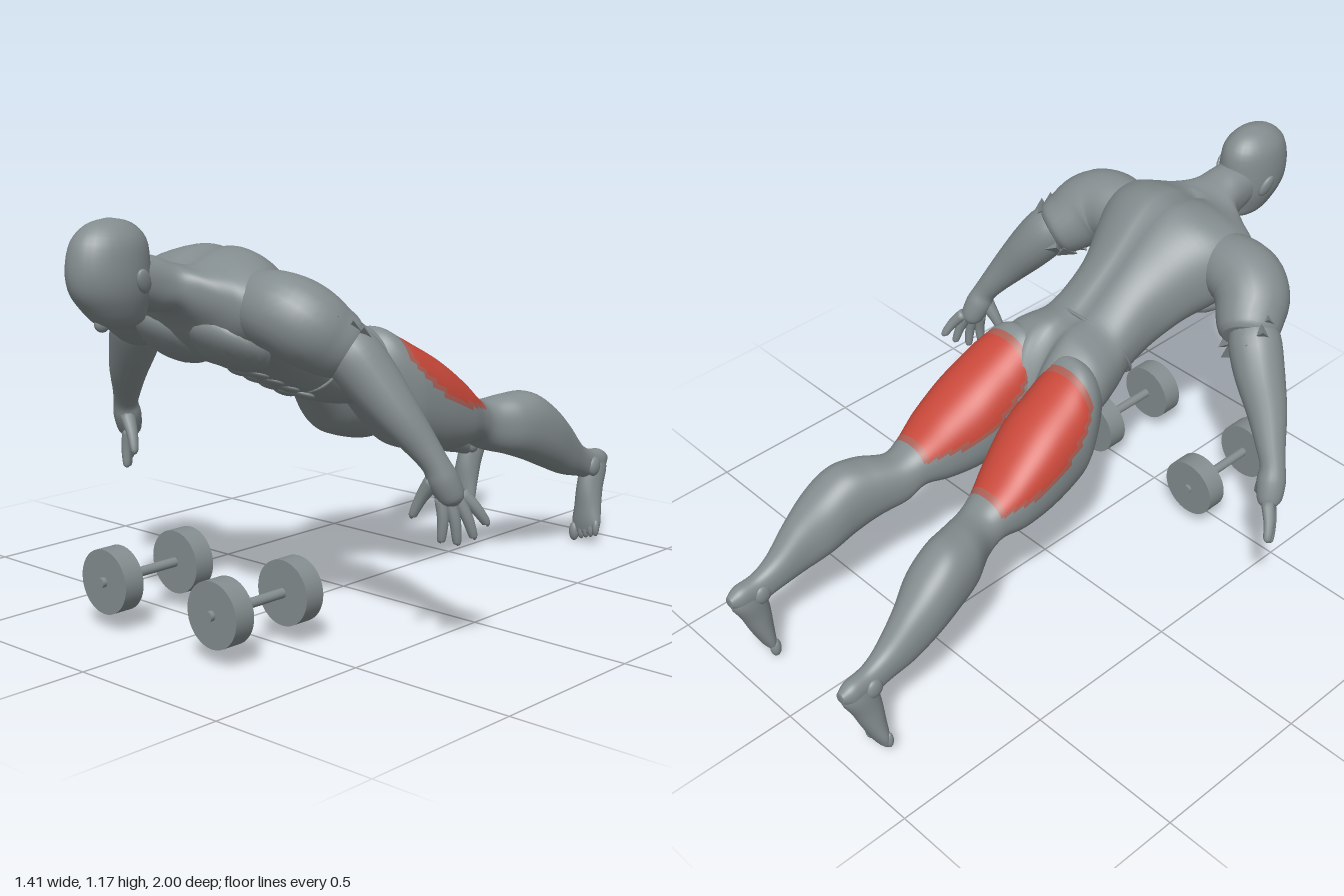
import * as THREE from 'three';

const skin = new THREE.MeshStandardMaterial({ color: 0x838c8e });
skin.name = 'grey body';
const red = new THREE.MeshStandardMaterial({ color: 0xc9483a });
red.name = 'red muscle';
const fade = new THREE.MeshStandardMaterial({ color: 0xab5f54 });
fade.name = 'muted red edge';
const mats = [skin, red, fade];

// Smooth interpolation of rows of numbers
function resample(rows, steps) {
  const out = [], n = rows.length;
  for (let i = 0; i < n - 1; i++) {
    const [a, b, c, d] = [rows[Math.max(i - 1, 0)], rows[i], rows[i + 1], rows[Math.min(i + 2, n - 1)]];
    for (let k = 0; k < steps; k++) {
      const t = k / steps;
      out.push(b.map((_, q) => b[q] + 0.5 * t * (c[q] - a[q] + t * (2 * a[q] - 5 * b[q] + 4 * c[q] - d[q]
        + t * (3 * (b[q] - c[q]) + d[q] - a[q])))));
    }
  }
  out.push(rows[n - 1]);
  return out;
}

// Closed skin over rings of points, with capped ends; pick(i, j) gives the material index
function loft(name, rings, pick = () => 0) {
  const m = rings[0].length, n = rings.length, pos = [], lists = [[], [], []];
  rings.forEach(r => r.forEach(p => pos.push(p.x, p.y, p.z)));
  for (const r of [rings[0], rings[n - 1]]) {
    const c = r.reduce((s, p) => s.add(p), new THREE.Vector3()).divideScalar(m);
    pos.push(c.x, c.y, c.z);
  }
  for (let j = 0; j < m; j++) {
    const k = (j + 1) % m;
    lists[0].push(n * m, k, j, n * m + 1, (n - 1) * m + j, (n - 1) * m + k);
    for (let i = 0; i < n - 1; i++) {
      const a = i * m + j, b = i * m + k;
      lists[pick(i, j)].push(a, b, a + m, b, b + m, a + m);
    }
  }
  // Turn the corners round when the volume comes out negative
  const v = q => new THREE.Vector3().fromArray(pos, q * 3);
  let vol = 0;
  for (const l of lists) for (let i = 0; i < l.length; i += 3) vol += v(l[i]).dot(v(l[i + 1]).cross(v(l[i + 2])));
  if (vol < 0) lists.forEach(l => l.reverse());
  const g = new THREE.BufferGeometry();
  g.setAttribute('position', new THREE.Float32BufferAttribute(pos, 3));
  g.setIndex(lists.flat());
  let start = 0;
  lists.forEach((l, q) => { if (l.length) g.addGroup(start, l.length, q); start += l.length; });
  g.computeVertexNormals();
  const mesh = new THREE.Mesh(g, mats);
  mesh.name = name;
  return mesh;
}

// Upright section at depth z from its x and y limits
const pw = v => Math.sign(v) * Math.abs(v) ** 0.88;
function section(z, x0, x1, top, bot, seg, s = 1) {
  return Array.from({ length: seg }, (_, j) => {
    const a = j / seg * Math.PI * 2;
    return new THREE.Vector3(s * ((x0 + x1) / 2 + (x1 - x0) / 2 * pw(Math.cos(a))),
      (top + bot) / 2 + (top - bot) / 2 * pw(Math.sin(a)), z);
  });
}

// Level rings through rows of [y, z, x, half width, half depth]
function stack(name, rows, s, seg) {
  return loft(name, resample(rows, 4).map(([y, z, x, rx, rz]) => Array.from({ length: seg }, (_, j) => {
    const a = j / seg * Math.PI * 2;
    return new THREE.Vector3(s * (x + rx * Math.cos(a)), y, z + rz * Math.sin(a));
  })));
}

// Tapered limb through rows of [x, y, z, radius]
function limb(name, rows, s, seg = 16, steps = 4) {
  const pts = resample(rows, steps);
  return loft(name, pts.map((p, i) => {
    const a = pts[Math.max(i - 1, 0)], b = pts[Math.min(i + 1, pts.length - 1)];
    const t = new THREE.Vector3(b[0] - a[0], b[1] - a[1], b[2] - a[2]).normalize();
    const u = new THREE.Vector3(0.3, 0.1, 1).cross(t).normalize(), w = t.clone().cross(u);
    return Array.from({ length: seg }, (_, j) => {
      const q = j / seg * Math.PI * 2;
      const v = new THREE.Vector3(p[0], p[1], p[2]).addScaledVector(u, p[3] * Math.cos(q)).addScaledVector(w, p[3] * Math.sin(q));
      v.x *= s;
      return v;
    });
  }));
}

function blob(name, x, y, z, rx, ry, rz, tilt = 0) {
  const mesh = new THREE.Mesh(new THREE.SphereGeometry(1, 20, 14), skin);
  mesh.name = name;
  mesh.position.set(x, y, z);
  mesh.scale.set(rx, ry, rz);
  mesh.rotation.x = tilt;
  return mesh;
}

function createTorso() {
  const torso = new THREE.Group();
  torso.name = 'torso';
  // z, half width, top, bottom
  const rows = resample([[-0.08, 0.1, 0.70, 0.60], [-0.04, 0.17, 0.765, 0.57], [0, 0.2, 0.805, 0.565],
    [0.04, 0.2, 0.828, 0.57], [0.08, 0.19, 0.834, 0.575], [0.14, 0.17, 0.84, 0.59], [0.2, 0.155, 0.88, 0.615],
    [0.3, 0.16, 0.955, 0.655], [0.4, 0.20, 1.035, 0.705], [0.48, 0.24, 1.07, 0.735], [0.56, 0.265, 1.06, 0.77],
    [0.62, 0.245, 1.035, 0.82], [0.66, 0.17, 1.03, 0.875], [0.70, 0.098, 1.045, 0.91], [0.75, 0.074, 1.065, 0.915],
    [0.82, 0.068, 1.07, 0.94]], 4);
  torso.add(loft('trunk', rows.map(([z, w, t, b]) => section(z, -w, w, t, b, 64).map(p => {
    // Spine groove, deepening into the cleft of the seat
    const deep = z < 0.08 ? 0.014 + 0.5 * (0.08 - z) : 0.014;
    if (p.y > (t + b) / 2 && z < 0.64) p.y -= deep * Math.exp(-((p.x / 0.024) ** 2));
    return p;
  }))));
  // Slanted waist seam
  const line = section(0, -0.161, 0.161, 0.833, 0.63, 32);
  line.forEach(p => { p.z = 0.13 + (0.833 - p.y) * 0.47; });
  const seam = new THREE.Mesh(new THREE.TubeGeometry(new THREE.CatmullRomCurve3(line, true), 64, 0.005, 6, true), skin);
  seam.name = 'waistSeam';
  torso.add(seam);
  // Chest and stomach muscles
  for (const s of [1, -1]) {
    torso.add(blob('chestMuscle', s * 0.105, 0.817, 0.562, 0.12, 0.055, 0.115, -0.64));
    for (let i = 0; i < 4; i++) torso.add(blob('stomachMuscle', s * 0.036, 0.705 - 0.0275 * i, 0.39 - 0.06 * i, 0.036, 0.012, 0.033, -0.42));
  }
  return torso;
}

function createHead() {
  const head = new THREE.Group();
  head.name = 'head';
  head.add(stack('skull', [[1.166, 0.875, 0, 0.008, 0.01], [1.152, 0.875, 0, 0.045, 0.065], [1.11, 0.877, 0, 0.077, 0.108],
    [1.04, 0.88, 0, 0.087, 0.121], [0.98, 0.873, 0, 0.083, 0.117], [0.93, 0.86, 0, 0.066, 0.092],
    [0.9, 0.848, 0, 0.048, 0.072], [0.883, 0.845, 0, 0.022, 0.04]], 1, 28));
  head.add(blob('nose', 0, 0.9, 0.905, 0.014, 0.022, 0.024, -0.5));
  for (const s of [1, -1]) {
    const ear = blob('ear', s * 0.09, 1.01, 0.84, 0.011, 0.036, 0.022, 0.5);
    ear.rotation.z = -s * 0.2;
    head.add(ear);
  }
  return head;
}

function createArm(s) {
  const arm = new THREE.Group();
  arm.name = s > 0 ? 'leftArm' : 'rightArm';
  arm.add(limb('upperArm', [[0.15, 0.935, 0.53, 0.08], [0.22, 0.925, 0.535, 0.1], [0.29, 0.912, 0.53, 0.108],
    [0.335, 0.885, 0.505, 0.109], [0.365, 0.85, 0.465, 0.1], [0.39, 0.825, 0.43, 0.088], [0.4, 0.815, 0.415, 0.07]], s, 24));
  arm.add(limb('forearm', [[0.375, 0.855, 0.46, 0.055], [0.415, 0.815, 0.43, 0.076], [0.465, 0.745, 0.40, 0.074],
    [0.53, 0.655, 0.368, 0.059], [0.58, 0.58, 0.335, 0.044], [0.61, 0.53, 0.315, 0.037], [0.622, 0.49, 0.3, 0.042],
    [0.636, 0.44, 0.28, 0.036], [0.642, 0.42, 0.275, 0.02]], s, 20));
  // Ragged folds at the end of the upper arm
  const u = new THREE.Vector3(0.79, 0.61, 0), w = new THREE.Vector3(-0.38, 0.48, 0.79);
  for (let i = 0; i < 12; i++) {
    const a = i / 12 * Math.PI * 2;
    const p = new THREE.Vector3(0.378, 0.838, 0.447).addScaledVector(u, 0.08 * Math.cos(a)).addScaledVector(w, 0.08 * Math.sin(a));
    const fold = new THREE.Mesh(new THREE.TetrahedronGeometry(0.034 + 0.007 * (i % 3)), skin);
    fold.name = 'raggedFold';
    fold.position.set(s * p.x, p.y, p.z);
    fold.rotation.set(i, s * i * 2, s * i);
    arm.add(fold);
  }
  // Knuckle to tip for each finger, then the thumb
  const fingers = [[0.618, 0.44, 0.30, 0.624, 0.33, 0.305], [0.633, 0.435, 0.285, 0.652, 0.323, 0.275],
    [0.645, 0.44, 0.268, 0.68, 0.338, 0.243], [0.65, 0.45, 0.255, 0.696, 0.37, 0.21], [0.607, 0.49, 0.315, 0.552, 0.39, 0.335]];
  fingers.forEach(([x, y, z, X, Y, Z], i) => arm.add(limb(i < 4 ? 'finger' : 'thumb',
    [[x, y, z, i < 4 ? 0.019 : 0.026], [(x + X) / 2 + (i < 4 ? 0.006 : -0.006), (y + Y) / 2, (z + Z) / 2, i < 4 ? 0.016 : 0.018],
      [X, Y, Z, 0.012], [X, Y - 0.007, Z, 0.005]], s, 10, 3)));
  return arm;
}

function createLeg(s) {
  const leg = new THREE.Group();
  leg.name = s > 0 ? 'leftLeg' : 'rightLeg';
  // z, inner x, outer x, top, bottom
  const rows = resample([[0.1, 0.04, 0.13, 0.73, 0.62], [0.05, 0.015, 0.185, 0.775, 0.57], [0, 0.004, 0.225, 0.802, 0.51],
    [-0.05, 0.004, 0.25, 0.777, 0.455], [-0.1, 0.005, 0.26, 0.75, 0.43], [-0.2, 0.015, 0.265, 0.695, 0.405],
    [-0.3, 0.05, 0.258, 0.622, 0.4], [-0.38, 0.085, 0.24, 0.555, 0.41], [-0.44, 0.1, 0.24, 0.53, 0.375],
    [-0.52, 0.12, 0.285, 0.54, 0.35], [-0.6, 0.135, 0.305, 0.54, 0.32], [-0.68, 0.15, 0.31, 0.495, 0.285],
    [-0.76, 0.185, 0.3, 0.425, 0.25], [-0.84, 0.205, 0.285, 0.345, 0.23], [-0.9, 0.215, 0.28, 0.31, 0.215],
    [-0.96, 0.22, 0.28, 0.3, 0.225], [-0.995, 0.235, 0.265, 0.28, 0.25]], 8);
  const seg = 64;
  // Oval red patch over the back of the thigh, with a muted border
  leg.add(loft('legWithRedThigh', rows.map(r => section(...r, seg, s)), (i, j) => {
    const z = rows[i][0], h = Math.sin((j + 0.5) / seg * Math.PI * 2);
    const edge = h - 0.08 - 0.38 * ((z + 0.21) / 0.17) ** 2;
    if (z > -0.03 || z < -0.385 || edge < 0) return 0;
    return z > -0.05 || z < -0.37 || edge < 0.13 ? 2 : 1;
  }));
  // Foot hanging down from the heel
  leg.add(stack('foot', [[0.285, -0.94, 0.25, 0.025, 0.04], [0.24, -0.935, 0.25, 0.036, 0.056], [0.18, -0.915, 0.252, 0.04, 0.048],
    [0.12, -0.903, 0.255, 0.046, 0.037], [0.07, -0.893, 0.258, 0.052, 0.026], [0.035, -0.888, 0.257, 0.048, 0.015]], s, 20));
  for (let i = 0; i < 5; i++) {
    const r = i ? 0.0115 : 0.017;
    leg.add(blob('toe', s * (i ? 0.228 + 0.0185 * i : 0.219), 0.032 + 0.006 * i, -0.882, r, i ? 0.027 : 0.032, r));
  }
  for (const x of [0.222, 0.276]) leg.add(blob('ankleBone', s * x, 0.255, -0.9, 0.016, 0.032, 0.028));
  return leg;
}

function createDumbbell(s) {
  const bell = new THREE.Group();
  bell.name = 'dumbbell';
  for (const [name, r, len, z] of [['handle', 0.014, 0.35, 0.583], ['frontWeight', 0.0925, 0.064, 0.712], ['backWeight', 0.0925, 0.064, 0.45]]) {
    const part = new THREE.Mesh(new THREE.CylinderGeometry(r, r, len, 40), skin);
    part.name = name;
    part.rotation.x = Math.PI / 2;
    part.position.set(s * 0.216, 0.138, z);
    bell.add(part);
  }
  return bell;
}

export function createModel() {
  const model = new THREE.Group();
  model.name = 'plankingFigureWithDumbbells';
  model.add(createTorso(), createHead());
  for (const s of [1, -1]) model.add(createArm(s), createLeg(s), createDumbbell(s));
  return model;
}
